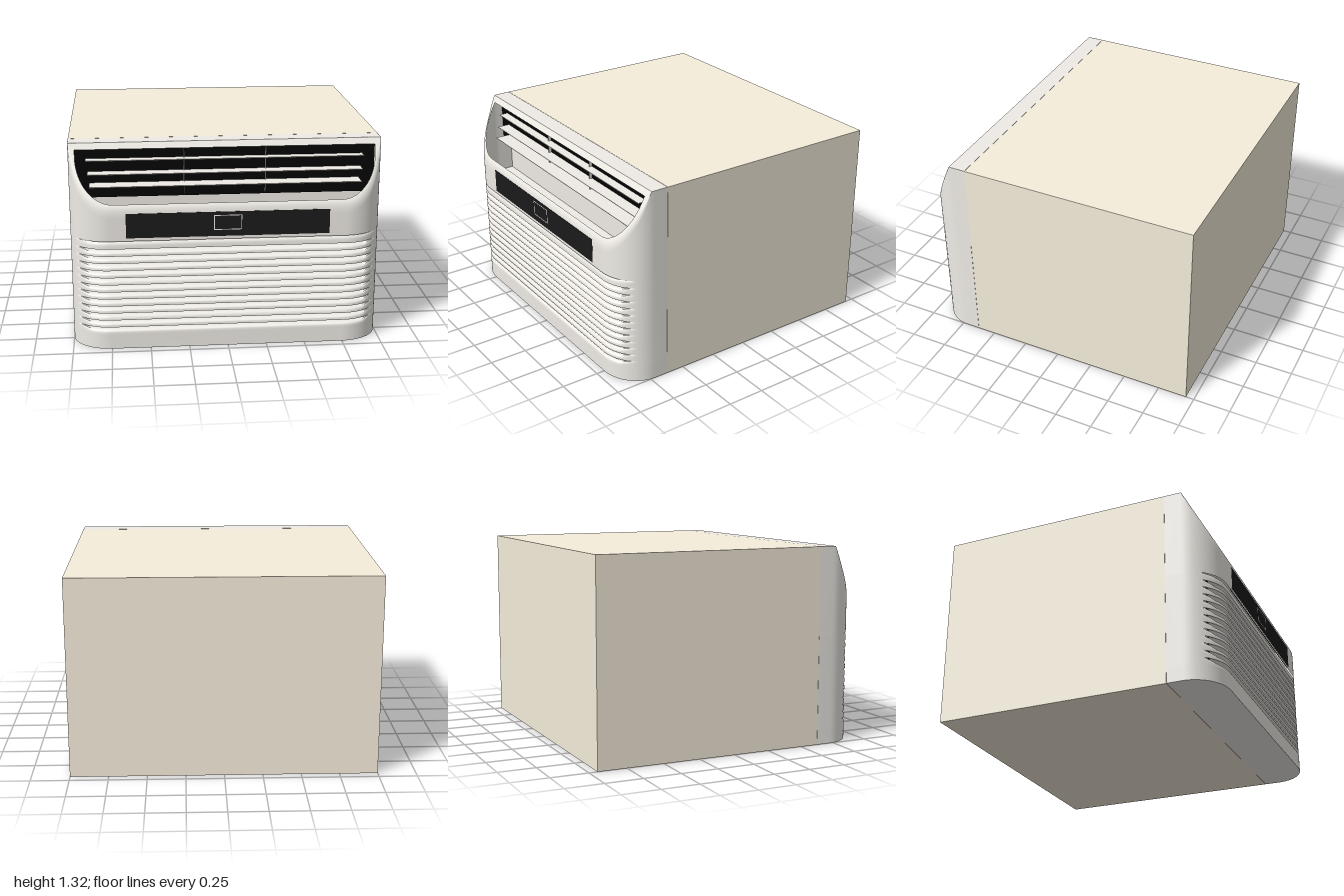
import * as THREE from 'three';
import { toCreasedNormals } from 'three/addons/utils/BufferGeometryUtils.js';

const H = 1.32, Z0 = 0.6255, ZF = 0.945;     // height, back and front of the front panel
const CX = 0.75, CZ = 0.72, RX = 0.25, RZ = 0.225; // rounded plan corners
const Y1 = 0.93, K = 0.205 / (H - Y1);       // start and steepness of the sloped top
const slopeZ = y => ZF - (y - Y1) * K;
const { clamp, lerp } = THREE.MathUtils;

const mat = (color, side = THREE.FrontSide) => new THREE.MeshStandardMaterial({ color, side });
const ivory = mat(0xf6eedc), white = mat(0xefece6), whiteThin = mat(0xefece6, THREE.DoubleSide);
const black = mat(0x030303, THREE.DoubleSide), dark = mat(0x1a1a1a);

export function createModel() {
  const model = new THREE.Group();
  const add = (name, geo, m = white) => {
    const mesh = new THREE.Mesh(geo, m);
    mesh.name = name;
    model.add(mesh);
    return mesh;
  };
  const box = (name, x0, x1, y0, y1, z0, z1, m) => add(name,
    new THREE.BoxGeometry(x1 - x0, y1 - y0, z1 - z0)
      .translate((x0 + x1) / 2, (y0 + y1) / 2, (z0 + z1) / 2), m);

  // Surface from a grid of points fn(row, column)
  const grid = (rows, cols, fn) => {
    const pos = [], idx = [];
    for (let r = 0; r <= rows; r++) for (let c = 0; c <= cols; c++) {
      pos.push(...fn(r, c));
      if (r < rows && c < cols) {
        const a = r * (cols + 1) + c, b = a + cols + 1;
        idx.push(a, a + 1, b, b, a + 1, b + 1);
      }
    }
    const g = new THREE.BufferGeometry();
    g.setAttribute('position', new THREE.Float32BufferAttribute(pos, 3));
    g.setIndex(idx);
    g.computeVertexNormals();
    return g;
  };

  // Front curve of the plan from one corner to the other. Each point also holds the
  // height y where the wall meets the slope, and the inset (ix, iy) of the rolled edge.
  const N = 32, a0 = Math.asin((slopeZ(H) - CZ) / RZ);
  const half = [{ x: 1, z: CZ, y: H, ix: 0, iy: 0, k: 0 }];
  for (let i = 0; i <= N; i++) {
    const a = lerp(a0, Math.PI / 2, i / N), k = Math.min(1, (a - a0) / 0.3);
    const z = CZ + RZ * Math.sin(a);
    const n = new THREE.Vector2(-Math.cos(a) / RX, Math.sin(a) * K / RZ).setLength(0.025 * k);
    half.push({ x: CX + RX * Math.cos(a), z, y: Y1 + (ZF - z) / K, ix: n.x, iy: n.y, k });
  }
  const front = [...half, ...half.map(p => ({ ...p, x: -p.x, ix: -p.ix })).reverse()];
  // Depth of the louvre recess, fading out at the corners
  const recess = x => 0.06 * clamp((0.965 - Math.abs(x)) / 0.1, 0, 1);

  // Upright slab with the plan outline
  const slab = (name, y0, y1, depth = () => 0) => {
    const s = new THREE.Shape();
    s.moveTo(-1, -Z0);
    s.lineTo(1, -Z0);
    front.forEach(({ x, z }) => s.lineTo(x, -(z - depth(x))));
    s.closePath();
    const g = new THREE.ExtrudeGeometry(s, { depth: y1 - y0, bevelEnabled: false });
    add(name, toCreasedNormals(g.rotateX(-Math.PI / 2).translate(0, y0, 0), 0.5));
  };

  // Cabinet and the hairline seam behind the front panel
  box('cabinet', -1, 1, 0, H, -ZF, 0.6235, ivory);
  box('panelSeam', -0.998, 0.998, 0.002, H - 0.002, 0.62, 0.63);

  // Front panel below and behind the louvres
  slab('panelBase', 0, 0.1);
  slab('louvreCore', 0.1, 0.73, recess);

  // Dark backing between the louvres
  const inner = front.filter(({ x }) => Math.abs(x) < 0.925);
  add('louvreBacking', grid(1, inner.length - 1, (r, c) => {
    const { x, z } = inner[c];
    return [x, r ? 0.73 : 0.1, z - recess(x) + 0.002];
  }), black);

  // Louvres: hooked section of [recess fraction, height]; the gaps taper shut at the corners
  const section = [[1, 0.012], [0.6, 0.008], [0.3, 0.003], [0, 0], [0, 0.014], [0.05, 0.022],
    [0.2, 0.028], [0.5, 0.03], [1, 0.03]];
  const pitch = 0.0482, last = 12;
  for (let i = 0; i <= last; i++) {
    const y = 0.1 + i * pitch;
    add('louvre', toCreasedNormals(grid(section.length - 1, front.length - 1, (r, c) => {
      const { x, z } = front[c], [d, h] = section[r];
      const shut = clamp((Math.abs(x) - 0.88) / 0.06, 0, 1);
      const top = i < last ? lerp(0.03, pitch, shut) : 0.63 - last * pitch;
      return [x, y + h / 0.03 * top, z - d * recess(x)];
    }), 0.7), whiteThin);
  }

  // Upper wall of the panel, rolling over softly onto the slope
  const flat = { z: Z0, y: H, ix: 0, iy: 0, k: 0 };
  const wall = [{ ...flat, x: 1 }, ...front, { ...flat, x: -1 }];
  const ROLL = 8;
  add('panelUpper', grid(ROLL + 1, wall.length - 1, (r, c) => {
    const { x, z, y, ix, iy, k } = wall[c];
    if (r === 0) return [x, 0.73, z];
    const t = (r - 1) / ROLL, t2 = t * t, u2 = (1 - t) * (1 - t);
    return [x + t2 * ix, y - u2 * 0.05 * k + t2 * iy, z - t2 * iy * K];
  }), whiteThin);

  // Sloped face with the air outlet, drawn flat and then pushed onto the slope
  const face = new THREE.Shape(front.slice(1, -1).map(p => new THREE.Vector2(p.x + p.ix, p.y + p.iy)));
  const outlet = new THREE.Path();
  outlet.moveTo(0.955, 1.28);
  outlet.lineTo(0.955, 1.25);
  outlet.absellipse(0.72, 1.25, 0.235, 0.285, 0, -Math.PI / 2, true);
  outlet.absellipse(-0.72, 1.25, 0.235, 0.285, -Math.PI / 2, -Math.PI, true);
  outlet.lineTo(-0.955, 1.28);
  outlet.closePath();
  face.holes.push(outlet);
  const faceGeo = new THREE.ExtrudeGeometry(face, { depth: 1, bevelEnabled: false, curveSegments: 20 });
  const p = faceGeo.attributes.position;
  for (let i = 0; i < p.count; i++) p.setZ(i, p.getZ(i) > 0.5 ? slopeZ(p.getY(i)) : Z0);
  faceGeo.computeVertexNormals();
  add('outletFrame', toCreasedNormals(faceGeo, 0.5));

  // Outlet: dark back, vanes stepping forward towards the bottom, and uprights
  box('outletBack', -0.97, 0.97, 0.95, 1.29, Z0, 0.7, black);
  [[1.045, 0.87, 0.81], [1.12, 0.88, 0.785], [1.205, 0.89, 0.762]].forEach(([y, w, z]) =>
    box('outletVane', -w, w, y - 0.002, y + 0.002, 0.69, z));
  for (const x of [-0.265, 0.26]) box('outletUpright', x - 0.002, x + 0.002, 0.966, 1.28, 0.69, 0.72);

  // Control panel with a thin display outline
  box('controlPanel', -0.645, 0.645, 0.75, 0.91, 0.93, 0.946, dark);
  const rect = (S, w, h) => new S([[-w, -h], [w, -h], [w, h], [-w, h]].map(q => new THREE.Vector2(...q)));
  const ring = rect(THREE.Shape, 0.089, 0.049);
  ring.holes.push(rect(THREE.Path, 0.084, 0.044));
  add('displayOutline', new THREE.ExtrudeGeometry(ring, { depth: 0.002, bevelEnabled: false }))
    .position.set(-0.003, 0.84, 0.945);

  return model;
}
